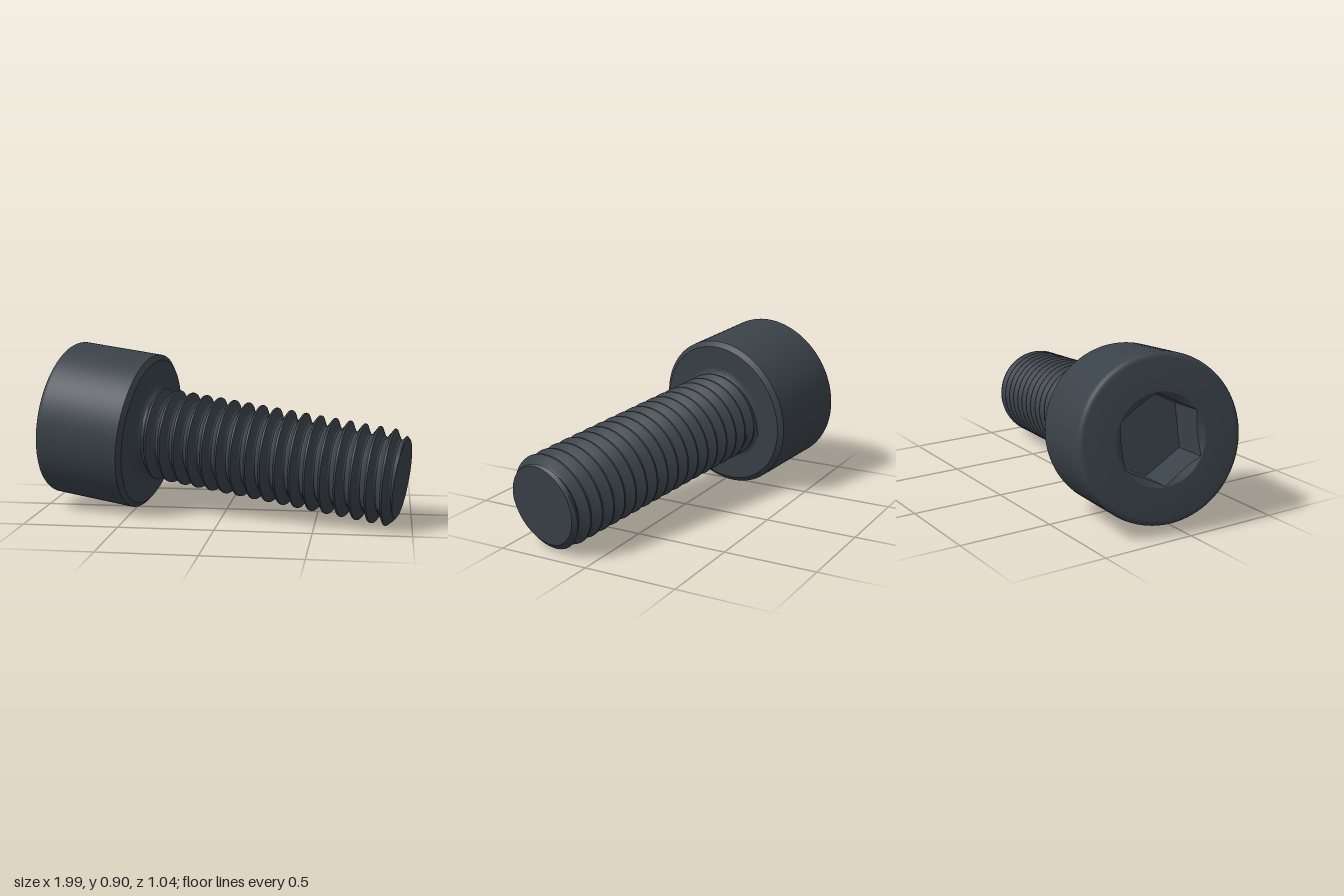
import * as THREE from 'three';
import { toCreasedNormals } from 'three/addons/utils/BufferGeometryUtils.js';

const TAU = Math.PI * 2;
const SEG = 96;

// Surface around the local y axis; point(row, angle) returns [radius, axial position].
function sweep(rows, point) {
  const pos = [], index = [], verts = [];
  for (let j = 0; j < rows; j++) {
    for (let i = 0; i <= SEG; i++) {
      const a = (i / SEG) * TAU;
      const [r, t] = point(j, a);
      const c = i % SEG === 0 ? 1 : Math.cos(a), s = i % SEG === 0 ? 0 : Math.sin(a);
      verts.push(new THREE.Vector3(r * c, t, r * s));
    }
  }
  verts.forEach(v => pos.push(v.x, v.y, v.z));
  const tri = new THREE.Triangle();
  const add = (a, b, c) => {
    tri.set(verts[a], verts[b], verts[c]);
    if (tri.getArea() > 1e-9) index.push(a, b, c); // skip collapsed triangles
  };
  for (let j = 0; j < rows - 1; j++) {
    for (let i = 0; i < SEG; i++) {
      const a = j * (SEG + 1) + i, b = a + SEG + 1;
      add(a, b, a + 1);
      add(a + 1, b, b + 1);
    }
  }
  const g = new THREE.BufferGeometry();
  g.setAttribute('position', new THREE.Float32BufferAttribute(pos, 3));
  g.setIndex(index);
  return toCreasedNormals(g, 0.5);
}

// Axial positions along the screw
const TOP = -0.03, UNDER = 0.47, TIP = 1.87;
const HEAD_R = 0.425;

// Hexagonal socket: floor, walls and countersunk mouth
const FLATS = 0.2, MOUTH_R = 0.233, SOCKET_TURN = -26 * Math.PI / 180;
function hexRadius(a) {
  const step = TAU / 6;
  const k = (((a - SOCKET_TURN) % step) + step) % step;
  return FLATS / Math.cos(k - step / 2);
}
function socketPoint(j, a) {
  const h = hexRadius(a);
  return [
    [0, 0.22],
    [h, 0.22],
    [h, TOP + (MOUTH_R - h) * 0.58],
    [MOUTH_R, TOP],
  ][j];
}

// Head outline: rounded upper rim, bevelled lower rim
const headProfile = [[MOUTH_R, TOP]];
for (let k = 0; k <= 4; k++) {
  const a = (k / 4) * Math.PI / 2;
  headProfile.push([HEAD_R - 0.03 + 0.03 * Math.sin(a), -0.03 * Math.cos(a)]);
}
headProfile.push([HEAD_R, 0.449], [0.398, UNDER], [0.22, UNDER]);

// Thread: one turn of the crest-to-crest profile as [fraction, radius]
const PITCH = 0.0803, CREST = 0.052 + 5 * 0.08;
const thread = [[0, 0.251], [0.06, 0.25], [0.23, 0.226], [0.4, 0.205], [0.5, 0.201],
  [0.6, 0.205], [0.77, 0.226], [0.94, 0.25], [1, 0.251]];
function shaftRadius(t, a) {
  let f = (t - CREST) / PITCH + a / TAU;
  f -= Math.floor(f);
  let r = 0.25;
  for (let k = 0; k < thread.length - 1; k++) {
    const [f0, r0] = thread[k], [f1, r1] = thread[k + 1];
    if (f >= f0 && f <= f1) r = r0 + (r1 - r0) * (f - f0) / (f1 - f0);
  }
  r = Math.min(r, 0.212 + (TIP - t)); // tip bevel
  const q = 0.05, s = t - UNDER;      // fillet below the head
  if (s < q) r = Math.max(r, 0.22 + q - Math.sqrt(q * q - (q - s) ** 2));
  return r;
}
const PER_TURN = thread.length - 1;
const SHAFT_ROWS = PER_TURN * 19 + 1;
function shaftPoint(j, a) {
  if (j === SHAFT_ROWS) return [0, TIP]; // closes the flat tip
  const turn = Math.floor(j / PER_TURN) + thread[j % PER_TURN][0];
  const t = THREE.MathUtils.clamp(CREST + PITCH * (turn - a / TAU), UNDER, TIP);
  return [shaftRadius(t, a), t];
}

export function createModel() {
  const steel = new THREE.MeshStandardMaterial({ color: 0x3a4249 });
  steel.name = 'dark steel';

  const group = new THREE.Group();
  group.name = 'socketHeadScrew';

  // Lean of the screw: local y runs along the shaft, local z points up
  const axis = new THREE.Vector3(1, -0.127, 0.218).normalize();
  const up = new THREE.Vector3(0, 1, 0).addScaledVector(axis, -axis.y).normalize();
  const side = new THREE.Vector3().crossVectors(axis, up);
  const lean = new THREE.Matrix4().makeBasis(side, axis, up);

  const add = (name, geometry) => {
    const mesh = new THREE.Mesh(geometry.applyMatrix4(lean), steel);
    mesh.name = name;
    group.add(mesh);
  };
  add('hexSocket', sweep(4, socketPoint));
  add('head', sweep(headProfile.length, j => headProfile[j]));
  add('threadedShaft', sweep(SHAFT_ROWS + 1, shaftPoint));

  // Centre the screw and rest it on the ground
  const box = new THREE.Box3().setFromObject(group);
  const mid = box.getCenter(new THREE.Vector3());
  group.children.forEach(m => m.geometry.translate(-mid.x, -box.min.y, -mid.z));
  return group;
}
